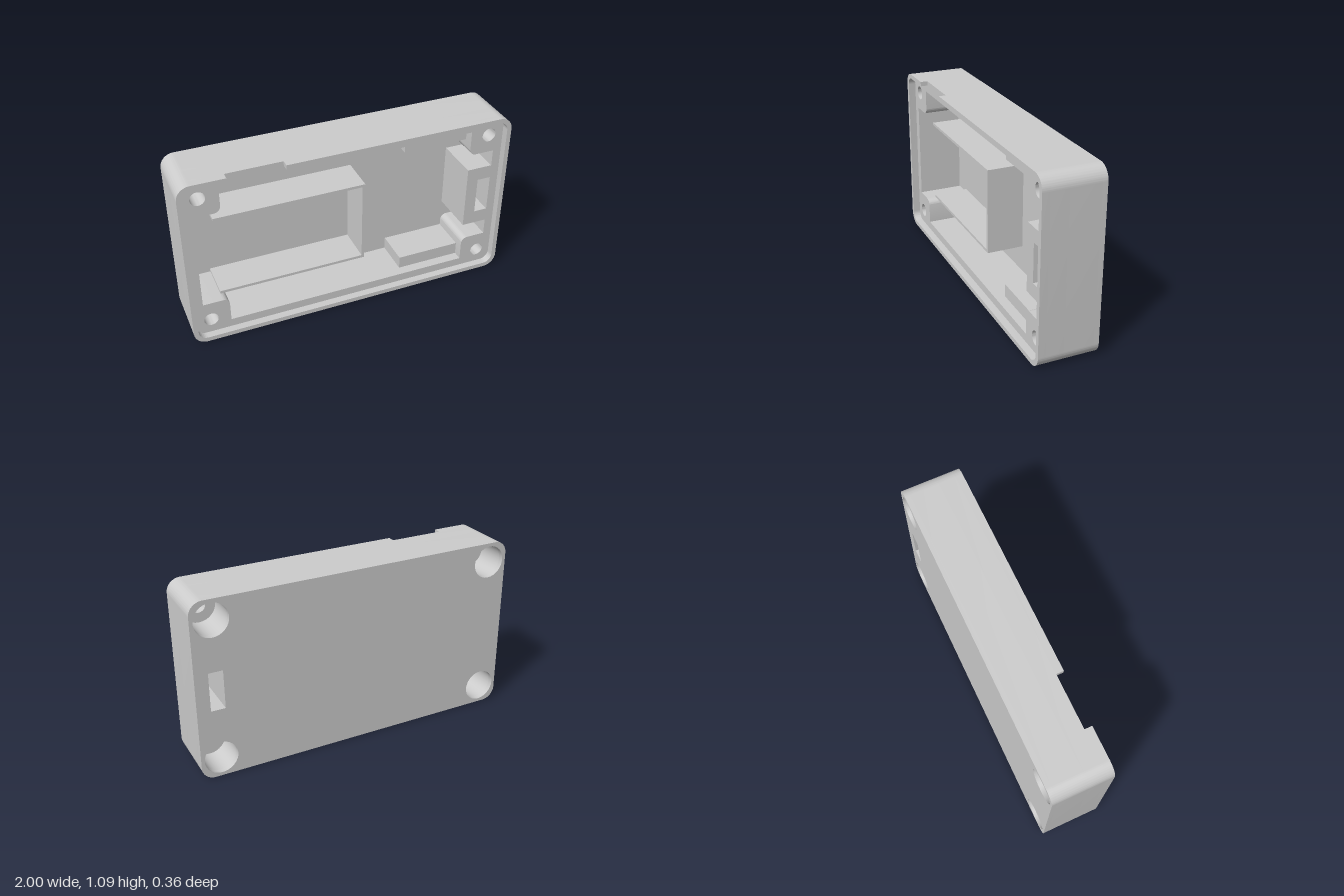
import * as THREE from 'three';
import { toCreasedNormals } from 'three/addons/utils/BufferGeometryUtils.js';

const H = 1.09, MID = H / 2;
const Z = { back: -0.18, floor: -0.15, bore: 0.03, ledge: 0.135, front: 0.18 };
const SCREWS = [[-0.88, 0.12], [0.88, 0.12], [-0.88, 0.97], [0.88, 0.97]];

export function createModel() {
  const group = new THREE.Group();
  const material = new THREE.MeshStandardMaterial({ color: 0xcccccc });

  const add = (name, geometry) => {
    const mesh = new THREE.Mesh(geometry, material);
    mesh.name = name;
    group.add(mesh);
  };

  // Extrude a front-facing outline between two depths
  const slab = (name, shape, z0, z1) => {
    const g = new THREE.ExtrudeGeometry(shape, { depth: z1 - z0, bevelEnabled: false, curveSegments: 16 });
    g.translate(0, 0, z0);
    add(name, toCreasedNormals(g, 0.5));
  };

  const box = (name, x0, x1, y0, y1, z0, z1) => {
    const g = new THREE.BoxGeometry(x1 - x0, y1 - y0, z1 - z0);
    g.translate((x0 + x1) / 2, (y0 + y1) / 2, (z0 + z1) / 2);
    add(name, g);
  };

  // Rounded rectangle centred on the case, inset from its outside
  const rounded = (path, inset, r) => {
    const x = 1 - inset, b = inset, t = H - inset;
    path.moveTo(-x + r, b);
    path.lineTo(x - r, b);
    path.absarc(x - r, b + r, r, -Math.PI / 2, 0);
    path.lineTo(x, t - r);
    path.absarc(x - r, t - r, r, 0, Math.PI / 2);
    path.lineTo(-x + r, t);
    path.absarc(-x + r, t - r, r, Math.PI / 2, Math.PI);
    path.lineTo(-x, b + r);
    path.absarc(-x + r, b + r, r, Math.PI, Math.PI * 1.5);
    return path;
  };

  // Outer outline with the port slot and four screw holes
  const plate = (holeRadius) => {
    const s = rounded(new THREE.Shape(), 0, 0.08);
    for (const [x, y] of SCREWS) {
      s.holes.push(new THREE.Path().absarc(x, y, holeRadius, 0, Math.PI * 2, true));
    }
    s.holes.push(new THREE.Path([[0.835, 0.43], [0.835, 0.665], [0.92, 0.665], [0.92, 0.43]]
      .map(([x, y]) => new THREE.Vector2(x, y))));
    return s;
  };

  // Inner cavity, leaving corner screw bosses and the port block
  const cavity = () => {
    const p = new THREE.Path();
    const r = 0.04, xi = 0.762, xo = 0.92, b = 0.08, t = 1.013, lo = 0.24, hi = 0.855;
    p.moveTo(-xi, b);
    p.lineTo(xi, b);
    p.lineTo(xi, lo - r);
    p.absarc(xi + r, lo - r, r, Math.PI, Math.PI / 2, true);
    p.lineTo(xo, lo);
    p.lineTo(xo, 0.345);
    p.lineTo(xi, 0.345);
    p.lineTo(xi, 0.75);
    p.lineTo(xo, 0.75);
    p.lineTo(xo, hi);
    p.lineTo(xi + r, hi);
    p.absarc(xi + r, hi + r, r, -Math.PI / 2, -Math.PI, true);
    p.lineTo(xi, t);
    p.lineTo(-xi, t);
    p.lineTo(-xi, hi + r);
    p.absarc(-xi - r, hi + r, r, 0, -Math.PI / 2, true);
    p.lineTo(-xo, hi);
    p.lineTo(-xo, lo);
    p.lineTo(-xi - r, lo);
    p.absarc(-xi - r, lo - r, r, Math.PI / 2, 0, true);
    p.lineTo(-xi, b);
    return p;
  };

  const walls = (holeRadius) => {
    const s = plate(holeRadius);
    s.holes.push(cavity());
    return s;
  };

  // Case body: wide screw recesses at the back, narrow holes in front
  slab('backPlate', plate(0.1), Z.back, Z.floor);
  slab('lowerWalls', walls(0.1), Z.floor, Z.bore);
  slab('upperWalls', walls(0.043), Z.bore, Z.ledge);

  // Thin front rim, broken by a notch in the top edge
  const n0 = -0.725, n1 = -0.395, w = 0.028, ro = 0.08, ri = 0.055;
  const rim = new THREE.Shape();
  rim.moveTo(n0, H);
  rim.lineTo(-1 + ro, H);
  rim.absarc(-1 + ro, H - ro, ro, Math.PI / 2, Math.PI);
  rim.absarc(-1 + ro, ro, ro, Math.PI, Math.PI * 1.5);
  rim.absarc(1 - ro, ro, ro, -Math.PI / 2, 0);
  rim.absarc(1 - ro, H - ro, ro, 0, Math.PI / 2);
  rim.lineTo(n1, H);
  rim.lineTo(n1, H - w);
  const c = w + ri;
  rim.absarc(1 - c, H - c, ri, Math.PI / 2, 0, true);
  rim.absarc(1 - c, c, ri, 0, -Math.PI / 2, true);
  rim.absarc(-1 + c, c, ri, Math.PI * 1.5, Math.PI, true);
  rim.absarc(-1 + c, H - c, ri, Math.PI, Math.PI / 2, true);
  rim.lineTo(n0, H - w);
  slab('frontRim', rim, Z.ledge, Z.front);

  // Support blocks along the top and bottom walls
  box('lowerSupport', 0.36, 0.762, 0.08, 0.16, Z.floor, 0.075);
  box('upperSupport', 0.36, 0.762, 0.935, 1.013, Z.floor, 0.075);

  // Three-sided holder standing on the floor, open to the left
  const holder = new THREE.Shape([
    [-0.8, 0.245], [0.113, 0.245], [0.113, 0.78], [-0.8, 0.78],
    [-0.8, 0.763], [0.096, 0.763], [0.096, 0.262], [-0.8, 0.262],
  ].map(([x, y]) => new THREE.Vector2(x, y)));
  slab('holderWalls', holder, Z.floor, 0.078);

  return group;
}
